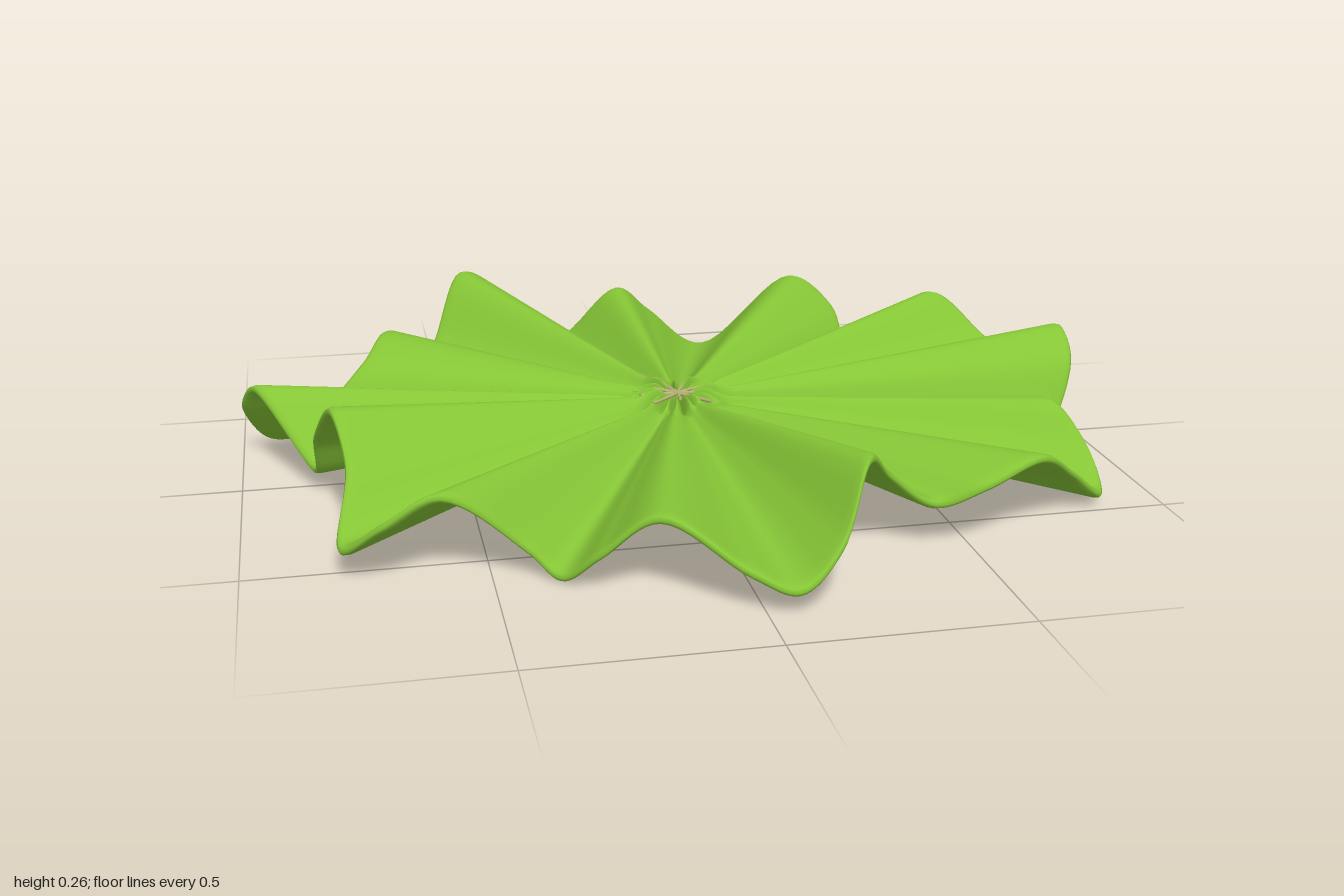
import * as THREE from 'three';

const CENTRE = new THREE.Vector3(0.01, 0.145, -0.03);

// Crests, valleys and notches around the wavy edge: x, y, z
const RIM = [
  [0.99, 0.25, -0.09], [0.98, 0.19, 0.01], [0.9, 0.045, 0.08], [0.8, 0.11, 0.13], [0.83, 0.18, 0.26],
  [0.875, 0.1, 0.37], [0.865, 0.035, 0.47], [0.77, 0.11, 0.53], [0.65, 0.19, 0.63], [0.52, 0.15, 0.66],
  [0.42, 0.11, 0.635], [0.32, 0.18, 0.64], [0.24, 0.26, 0.74], [0.15, 0.13, 0.86], [0.06, 0.06, 0.89],
  [-0.03, 0.09, 0.855], [-0.19, 0.18, 0.765], [-0.3, 0.09, 0.71], [-0.37, 0.02, 0.64], [-0.43, 0.07, 0.605],
  [-0.6, 0.195, 0.605], [-0.72, 0.14, 0.605], [-0.8, 0.07, 0.53], [-0.775, 0.18, 0.36], [-0.8, 0.265, 0.24],
  [-0.835, 0.17, 0.12], [-0.84, 0.06, 0.03], [-0.965, 0.2, -0.15], [-0.995, 0.13, -0.23], [-0.93, 0.02, -0.33],
  [-0.82, 0.06, -0.36], [-0.71, 0.16, -0.4], [-0.64, 0.2, -0.54], [-0.53, 0.1, -0.67], [-0.42, 0.26, -0.86],
  [-0.32, 0.2, -0.9], [-0.18, 0.07, -0.81], [-0.01, 0.22, -0.76], [0.09, 0.14, -0.81], [0.25, 0.02, -0.845],
  [0.5, 0.21, -0.825], [0.6, 0.14, -0.75], [0.605, 0.04, -0.58], [0.65, 0.12, -0.49], [0.78, 0.25, -0.445],
  [0.9, 0.15, -0.37], [0.95, 0.1, -0.27], [0.975, 0.17, -0.19],
];

const rimCurve = new THREE.CatmullRomCurve3(
  RIM.map((p) => new THREE.Vector3(...p)), true, 'centripetal');

// A point of the pleated sheet: t runs from centre to rim
function sheetPoint(rim, t) {
  const p = CENTRE.clone().lerp(rim, t);
  const angle = Math.atan2(rim.z - CENTRE.z, rim.x - CENTRE.x);
  // tight puckers round the stalk
  const pucker = Math.exp(-(((t - 0.075) / 0.04) ** 2));
  p.y += 0.022 * pucker * Math.cos(18 * angle + Math.sin(3 * angle));
  return p;
}

// Radial section: out along the top, round the lip, back underneath
function makeLeaf() {
  const steps = [0.008, 0.03, 0.05, 0.07, 0.09, 0.11, 0.14, 0.2, 0.3, 0.4, 0.5, 0.6, 0.7, 0.8, 0.9, 0.96, 0.985];
  const section = [
    ...steps.map((t) => [t, 0.01]),
    [0.996, 0.006], [1, -0.002], [0.996, -0.009],
    ...steps.slice().reverse().map((t) => [t, -0.012]),
  ];
  const around = 432;
  const rows = section.length;
  const positions = [];
  const index = [];
  for (let i = 0; i < around; i++) {
    const rim = rimCurve.getPoint(i / around);
    for (const [t, lift] of section) {
      const p = sheetPoint(rim, t);
      positions.push(p.x, p.y + lift, p.z);
    }
    const next = (i + 1) % around;
    for (let j = 0; j < rows - 1; j++) {
      const a = i * rows + j;
      const b = next * rows + j;
      index.push(a, b, a + 1, b, b + 1, a + 1);
    }
  }
  const geometry = new THREE.BufferGeometry();
  geometry.setAttribute('position', new THREE.Float32BufferAttribute(positions, 3));
  geometry.setIndex(index);
  geometry.computeVertexNormals();
  return geometry;
}

// Thin straight rod between two points
function makeRod(from, to, radius, material, name) {
  const direction = to.clone().sub(from);
  const rod = new THREE.Mesh(
    new THREE.CylinderGeometry(radius * 0.7, radius, direction.length(), 6), material);
  rod.position.copy(from).add(to).multiplyScalar(0.5);
  rod.quaternion.setFromUnitVectors(new THREE.Vector3(0, 1, 0), direction.normalize());
  rod.name = name;
  return rod;
}

export function createModel() {
  const leafGreen = new THREE.MeshStandardMaterial({ color: 0x86c636, side: THREE.DoubleSide });
  leafGreen.name = 'leaf green';
  const veinTan = new THREE.MeshStandardMaterial({ color: 0xb9b477 });
  veinTan.name = 'vein tan';

  const model = new THREE.Group();
  model.name = 'ruffledLeaf';

  const leaf = new THREE.Mesh(makeLeaf(), leafGreen);
  leaf.name = 'leafBlade';
  model.add(leaf);

  // Long veins showing in two of the folds: start x, y, z, end x, y, z
  const veins = new THREE.Group();
  veins.name = 'veins';
  for (const [x0, y0, z0, x1, y1, z1] of [
    [-0.025, 0.146, -0.18, -0.15, 0.108, -0.69],
    [0.2, 0.125, -0.24, 0.485, 0.085, -0.555],
  ]) {
    veins.add(makeRod(new THREE.Vector3(x0, y0, z0), new THREE.Vector3(x1, y1, z1), 0.007, veinTan, 'longVein'));
  }

  // Star of short veins at the centre
  const hub = CENTRE.clone().setY(0.163);
  for (let i = 0; i < 9; i++) {
    const angle = (i / 9) * Math.PI * 2 + 0.25;
    const reach = 0.085 + 0.03 * Math.sin(i * 2.3);
    const tip = hub.clone().add(new THREE.Vector3(Math.cos(angle) * reach, 0.004, Math.sin(angle) * reach));
    veins.add(makeRod(hub, tip, 0.005, veinTan, 'shortVein'));
  }
  model.add(veins);
  return model;
}
